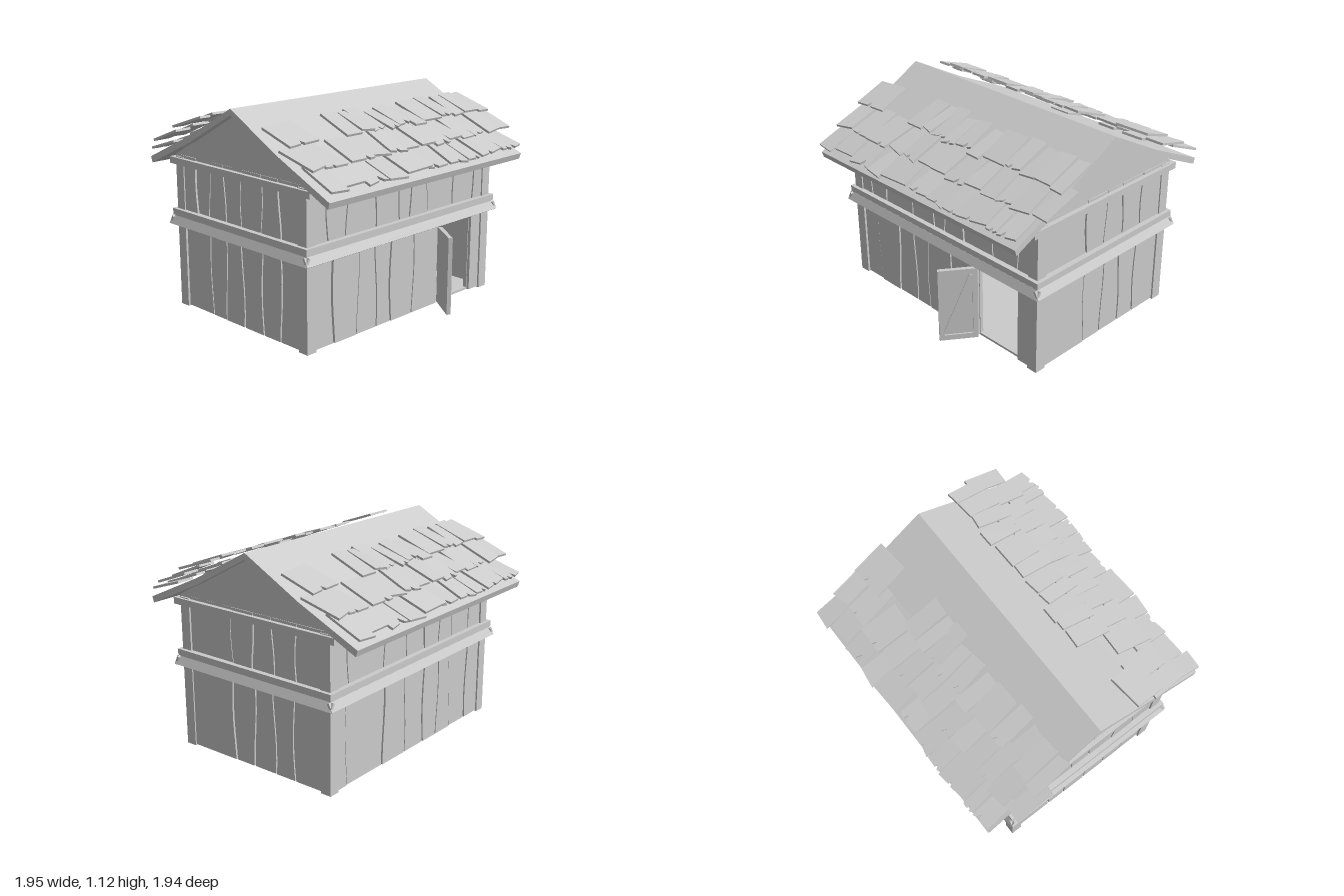
import * as THREE from 'three';

const mat = new THREE.MeshStandardMaterial({ color: 0xcccccc, flatShading: true });
const TURN = 0.613;            // the house stands turned on the ground
const A = 0.69, B = 0.49;      // half length and half width at the corner posts

let seed = 7;
const rnd = (a, b) => {
  seed = (seed * 16807) % 2147483647;
  return a + (b - a) * (seed / 2147483647);
};

function add(parent, name, geo, x = 0, y = 0, z = 0) {
  const m = new THREE.Mesh(geo, mat);
  m.name = name;
  m.position.set(x, y, z);
  parent.add(m);
  return m;
}
const box = (parent, name, w, h, d, x, y, z) => add(parent, name, new THREE.BoxGeometry(w, h, d), x, y, z);

function extrude(pts, depth) {
  const s = new THREE.Shape(pts.map(([x, y]) => new THREE.Vector2(x, y)));
  return new THREE.ExtrudeGeometry(s, { depth, bevelEnabled: false });
}

// Row of upright planks with wavy seams; `skip` is the index left open
function planks(parent, edges, y0, y1, skip = -1) {
  const n = 6, last = edges.length - 1;
  const seam = (i, t) => edges[i] +
    (i === 0 || i === last || i === skip || i === skip + 1 && skip >= 0 ? 0 : 0.009 * Math.sin(t * 4 + i * 2.3));
  for (let i = 0; i < last; i++) {
    if (i === skip) continue;
    const pts = [];
    for (let k = 0; k <= n; k++) pts.push([seam(i + 1, k / n) - 0.004, y0 + (y1 - y0) * k / n]);
    for (let k = n; k >= 0; k--) pts.push([seam(i, k / n) + 0.004, y0 + (y1 - y0) * k / n]);
    add(parent, 'plank', extrude(pts, rnd(0.014, 0.02)), 0, 0, -0.02);
  }
}

// One side of the house, built facing +z with its plank face near z = 0
function wall(parent, name, half, dist, angle, lower, upper, door = null) {
  const g = new THREE.Group();
  g.name = name;
  g.rotation.y = angle;
  const face = new THREE.Group();
  face.position.z = dist;
  g.add(face);
  const w = half - 0.02;
  const back = (x0, x1, y0, y1) =>
    box(face, 'wallCore', x1 - x0, y1 - y0, 0.02, (x0 + x1) / 2, (y0 + y1) / 2, -0.03);
  back(-w, w, 0.45, 0.82);
  if (door) {
    back(-w, door[0], 0.005, 0.45);
    back(door[1], w, 0.005, 0.45);
  } else back(-w, w, 0.005, 0.45);
  planks(face, [-w, ...lower, w], 0.005, 0.46, door ? lower.indexOf(door[0]) + 1 : -1);
  planks(face, [-w, ...upper, w], 0.5, 0.82);
  // belt: upper board, middle strip and sloping drip board
  box(face, 'beltBoard', 2 * half + 0.035, 0.033, 0.035, 0, 0.515, 0.008);
  box(face, 'beltStrip', 2 * half + 0.02, 0.03, 0.03, 0, 0.486, 0.002);
  const drip = box(face, 'dripBoard', 2 * half + 0.06, 0.048, 0.012, 0, 0.469, 0.026);
  drip.rotation.x = -0.5;
  parent.add(g);
  return face;
}

// Wooden shingle, some with a split in the lower edge
function shingle(parent, x0, x1, v, y) {
  const w = (x1 - x0) / 2, L = rnd(0.19, 0.225), pts = [[-w, rnd(-0.012, 0.01)]];
  if (rnd(0, 1) < 0.5) {
    const c = rnd(-0.4, 0.4) * w, d = rnd(0.015, 0.035);
    pts.push([c - d * 0.5, 0], [c, d], [c + d * 0.5, -0.003]);
  }
  pts.push([w, rnd(-0.012, 0.01)], [w * rnd(0.9, 1), L], [-w * rnd(0.9, 1), L + rnd(-0.01, 0.01)]);
  const geo = extrude(pts, 0.012);
  geo.rotateZ(rnd(-0.09, 0.09));
  geo.rotateX(-1.22 + rnd(-0.06, 0.06));
  add(parent, 'shingle', geo, (x0 + x1) / 2, y + rnd(-0.008, 0.008), v + rnd(-0.015, 0.015));
}

function buildRoof(house) {
  const roof = new THREE.Group();
  roof.name = 'roof';
  house.add(roof);
  // slab with slightly sagging slopes
  const top = [[0.67, 0.785], [0.33, 0.942], [0, 1.12], [-0.33, 0.942], [-0.67, 0.785]];
  const under = top.map(([x, y]) => [x * 0.985, y - 0.032]).reverse();
  const slab = extrude([...top, ...under], 1.44);
  slab.translate(0, 0, -0.72);
  slab.rotateY(Math.PI / 2);
  add(roof, 'roofSlab', slab);
  // three courses per slope: lower edge, height, shingle edges (a null leaves a gap)
  const courses = [
    [0.40, 0.985, [-0.72, -0.52, null, -0.33, -0.22, -0.14, -0.04, 0.04, 0.14, 0.23, 0.38, 0.48, 0.57, 0.68, 0.76]],
    [0.545, 0.90, [-0.72, -0.61, -0.47, -0.31, -0.19, -0.08, 0.03, 0.14, 0.26, 0.37, 0.47, 0.57, 0.69, 0.79]],
    [0.67, 0.822, [-0.72, -0.61, -0.47, -0.33, -0.21, -0.02, 0.12, 0.25, 0.35, 0.54, 0.61, 0.72]],
  ];
  const slope = new THREE.Group();
  slope.name = 'shingleSlope';
  for (const [v, y, e] of courses)
    for (let i = 0; i < e.length - 1; i++)
      if (e[i] !== null && e[i + 1] !== null) shingle(slope, e[i] + 0.003, e[i + 1] - 0.003, v, y);
  const other = slope.clone();
  other.rotation.y = Math.PI;
  roof.add(slope, other);
}

// Door standing open, framed and braced
function buildDoor(house) {
  const door = new THREE.Group();
  door.name = 'door';
  door.position.set(0.275, 0, 0.485);
  door.rotation.y = -Math.PI / 2 - TURN;
  const W = 0.2, H = 0.415, y0 = 0.012;
  box(door, 'doorPanel', W, H, 0.014, W / 2, y0 + H / 2, 0);
  for (const x of [0.013, W - 0.013]) box(door, 'doorStile', 0.026, H, 0.01, x, y0 + H / 2, -0.01);
  for (const y of [y0 + 0.015, y0 + H - 0.015]) box(door, 'doorRail', W - 0.05, 0.03, 0.01, W / 2, y, -0.01);
  const brace = box(door, 'doorBrace', 0.022, 0.37, 0.006, W / 2, y0 + H / 2, -0.009);
  brace.rotation.z = 0.38;
  house.add(door);
}

export function createModel() {
  const model = new THREE.Group();
  model.name = 'woodenHouse';
  const house = new THREE.Group();
  house.name = 'house';
  house.rotation.y = TURN;
  house.position.set(0.02, 0, 0.005);
  model.add(house);

  box(house, 'floor', 2 * A - 0.05, 0.012, 2 * B - 0.05, 0, 0.01, 0);

  // corner posts
  for (const sx of [-1, 1]) for (const sz of [-1, 1])
    box(house, 'cornerPost', 0.06, 0.81, 0.06, sx * (A - 0.03), 0.405, sz * (B - 0.03));

  // long walls, the front one with the doorway
  const h = Math.PI / 2;
  wall(house, 'frontWall', A, B - 0.006, 0,
    [-0.51, -0.34, -0.21, -0.1, 0.07, 0.27, 0.55], [-0.55, -0.42, -0.22, -0.04, 0.04, 0.17, 0.39, 0.55], [0.27, 0.55]);
  wall(house, 'backWall', A, B - 0.006, Math.PI,
    [-0.56, -0.26, -0.08, 0.09, 0.22, 0.34, 0.51], [-0.55, -0.26, -0.08, 0.09, 0.22, 0.34, 0.52]);

  // end walls with a tie beam and gable
  const ends = [
    wall(house, 'leftEndWall', B, A - 0.006, h, [-0.14, 0, 0.13, 0.26], [-0.14, 0, 0.13, 0.28]),
    wall(house, 'rightEndWall', B, A - 0.006, -h, [-0.23, -0.11, 0.02, 0.17, 0.3], [-0.33, -0.23, -0.11, 0.02, 0.17, 0.3]),
  ];
  for (const end of ends) {
    box(end, 'tieBeam', 2 * B + 0.07, 0.035, 0.04, 0, 0.788, 0);
    add(end, 'gable', extrude([[-0.52, 0.78], [0.52, 0.78], [0.5, 0.82], [0, 1.095], [-0.5, 0.82]], 0.025), 0, 0, -0.03);
  }

  buildDoor(house);
  buildRoof(house);
  return model;
}
